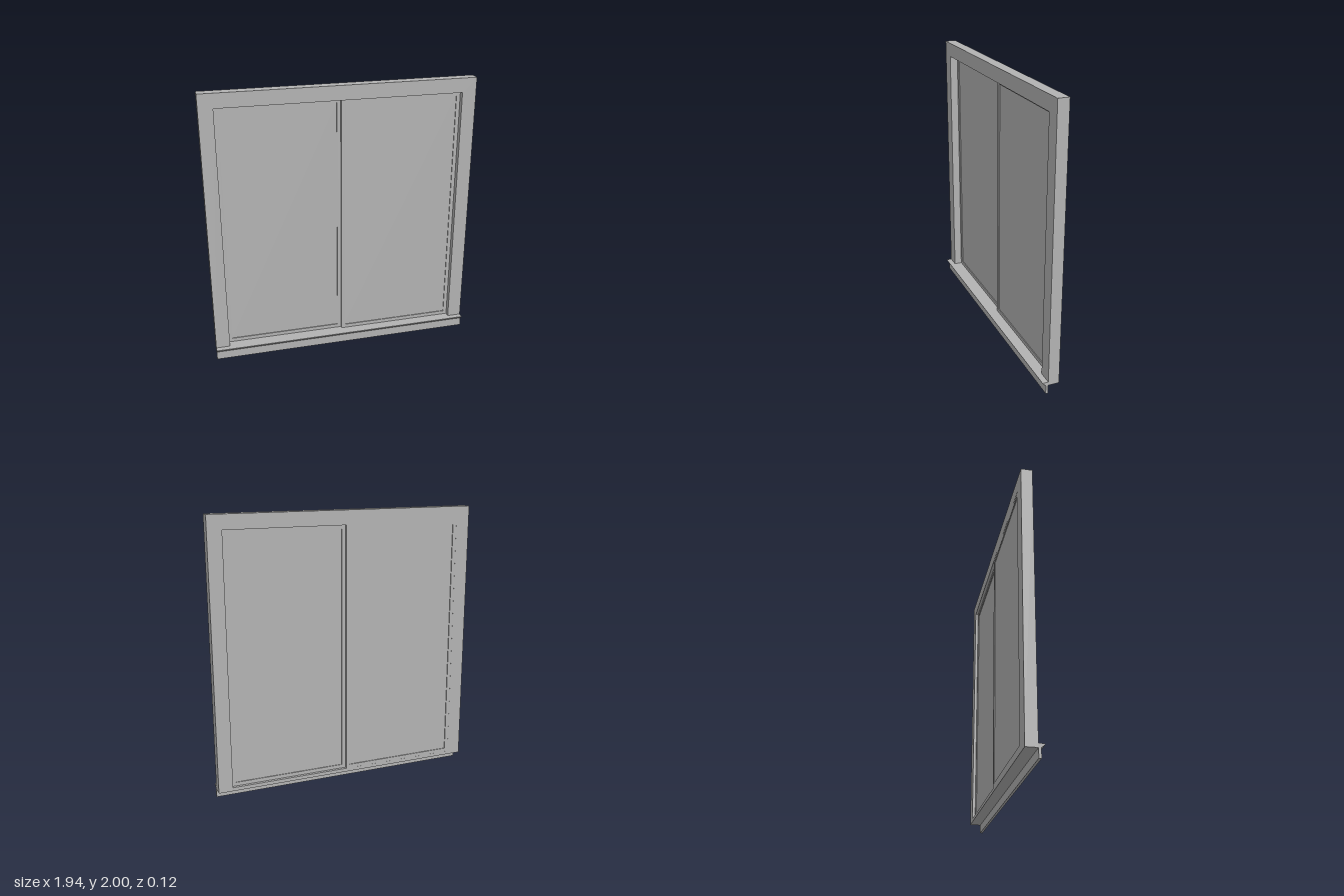
import * as THREE from 'three';

const grey = new THREE.MeshStandardMaterial({ color: 0xb2b2b2 });
grey.name = 'window grey';

// Rectangular ring between outer and inner bounds [x0, y0, x1, y1], from z0 to z1
function ring(name, o, i, z0, z1) {
  const shape = new THREE.Shape([
    new THREE.Vector2(o[0], o[1]), new THREE.Vector2(o[2], o[1]),
    new THREE.Vector2(o[2], o[3]), new THREE.Vector2(o[0], o[3]),
  ]);
  shape.holes.push(new THREE.Path([
    new THREE.Vector2(i[0], i[1]), new THREE.Vector2(i[0], i[3]),
    new THREE.Vector2(i[2], i[3]), new THREE.Vector2(i[2], i[1]),
  ]));
  const geo = new THREE.ExtrudeGeometry(shape, { depth: z1 - z0, bevelEnabled: false });
  geo.translate(0, 0, z0);
  const mesh = new THREE.Mesh(geo, grey);
  mesh.name = name;
  return mesh;
}

// Sliding sash: slim border with a thin pane set in the middle of its depth
function sash(name, x0, x1, z0, z1) {
  const group = new THREE.Group();
  group.name = name;
  const y0 = 0.088, y1 = 1.897, b = 0.027;
  const inner = [x0 + b, y0 + b, x1 - b, y1 - b];
  group.add(ring('sashBorder', [x0, y0, x1, y1], inner, z0, z1));
  const pane = new THREE.Mesh(
    new THREE.BoxGeometry(inner[2] - inner[0], inner[3] - inner[1], 0.008), grey);
  pane.position.set((x0 + x1) / 2, (y0 + y1) / 2, (z0 + z1) / 2);
  pane.name = 'pane';
  group.add(pane);
  return group;
}

export function createModel() {
  const model = new THREE.Group();
  model.name = 'slidingWindow';
  const W = 0.97, I = 0.868, back = -0.06, front = 0.019;

  // Outer frame
  model.add(ring('outerFrame', [-W, 0.062, W, 2], [-I, 0.088, I, 1.897], back, front));

  // Sashes on two tracks, the +x one nearer the front
  model.add(sash('leftSash', 0, I, -0.039, -0.019));
  model.add(sash('rightSash', -I, 0, -0.0595, -0.039));

  // Sill nosing with sloped underside and hanging apron; profile is (z, y)
  const profile = [[front, 0.088], [front, 0], [0.036, 0], [0.036, 0.062], [0.06, 0.084], [0.06, 0.088]];
  const shape = new THREE.Shape(profile.map(([z, y]) => new THREE.Vector2(-z, y)));
  const geo = new THREE.ExtrudeGeometry(shape, { depth: 2 * W, bevelEnabled: false });
  geo.translate(0, 0, -W);
  geo.rotateY(Math.PI / 2);
  const sill = new THREE.Mesh(geo, grey);
  sill.name = 'sill';
  model.add(sill);

  return model;
}
